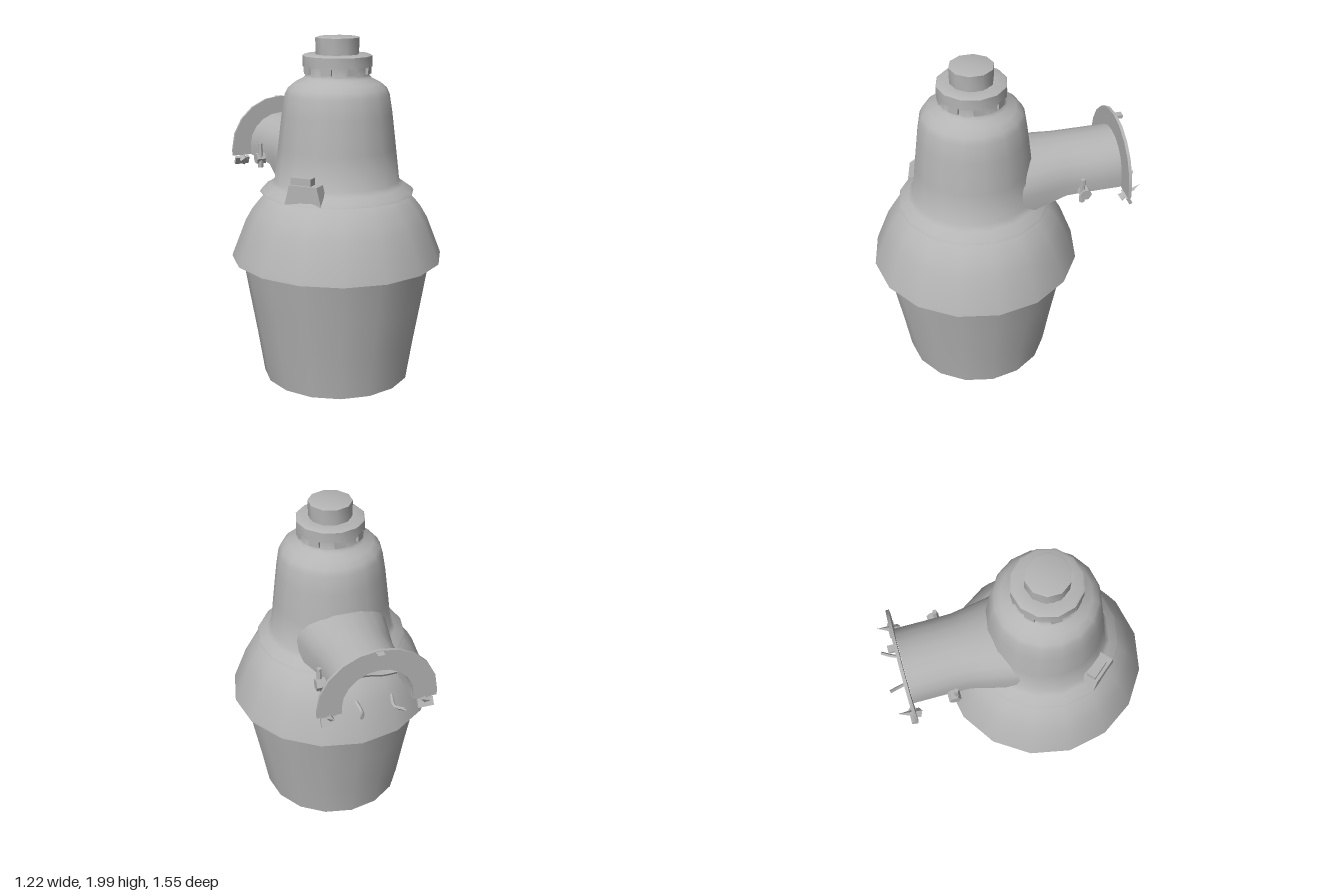
import * as THREE from 'three';
import { toCreasedNormals } from 'three/addons/utils/BufferGeometryUtils.js';

const AXIS_Z = 0.165;

export function createModel() {
  const model = new THREE.Group();
  model.name = 'yardLight';
  const grey = new THREE.MeshStandardMaterial({ color: 0xb4b4b4, side: THREE.DoubleSide });
  grey.name = 'cast grey';

  function add(name, geometry, parent = model) {
    const mesh = new THREE.Mesh(toCreasedNormals(geometry, 0.75), grey);
    mesh.name = name;
    parent.add(mesh);
    return mesh;
  }

  // Turned part around the lamp axis; profile is [radius, y] from bottom to top
  function turned(name, profile, sides) {
    const points = profile.map(([r, y]) => new THREE.Vector2(r, y));
    const mesh = add(name, new THREE.LatheGeometry(points, sides));
    mesh.position.z = AXIS_Z;
    return mesh;
  }

  // Arch outline, open at the bottom, as an inner and an outer curve
  function archShape(outer, inner) {
    const half = ({ w, base, spring, top }) => {
      const pts = [[-w, base]];
      for (let i = 0; i <= 10; i++) {
        const a = Math.PI * (1 - i / 10);
        pts.push([w * Math.cos(a), spring + (top - spring) * Math.sin(a)]);
      }
      pts.push([w, base]);
      return pts.map(([x, y]) => new THREE.Vector2(x, y));
    };
    return new THREE.Shape([...half(outer), ...half(inner).reverse()]);
  }

  // Shade, open at the bottom
  turned('shade', [[0.432, 0.01], [0.47, 0.25], [0.51, 0.48], [0.553, 0.735]], 16);

  // Reflector bowl with its rim
  turned('reflectorBowl', [
    [0.55, 0.74], [0.612, 0.735], [0.608, 0.75], [0.565, 0.86], [0.53, 0.95],
    [0.49, 1.02], [0.45, 1.07], [0.41, 1.11], [0.36, 1.125]
  ], 16);

  // Ballast housing with flared foot and rounded shoulder
  turned('housing', [
    [0.40, 1.115], [0.445, 1.12], [0.435, 1.135], [0.385, 1.165], [0.36, 1.19],
    [0.338, 1.38], [0.315, 1.57], [0.297, 1.68], [0.28, 1.715], [0.245, 1.745],
    [0.195, 1.77], [0.182, 1.785], [0.18, 1.84]
  ], 16);

  // Collar and photocell cap
  turned('collar', [[0.18, 1.835], [0.197, 1.835], [0.197, 1.895], [0.185, 1.903], [0.12, 1.903]], 12);
  turned('photocellCap', [[0.122, 1.89], [0.125, 1.995], [0.11, 2.0], [0, 2.0]], 10);

  // Short lugs under the collar
  const lugs = new THREE.Group();
  lugs.name = 'collarLugs';
  lugs.position.z = AXIS_Z;
  model.add(lugs);
  for (let i = 0; i < 8; i++) {
    const a = (i / 8) * Math.PI * 2;
    const lug = add('lug', new THREE.BoxGeometry(0.06, 0.045, 0.015), lugs);
    lug.position.set(0.183 * Math.sin(a), 1.82, 0.183 * Math.cos(a));
    lug.rotation.y = a;
  }

  // Arm: arched trough, flaring where it meets the housing
  const arm = new THREE.ExtrudeGeometry(
    archShape({ w: 0.215, base: 1.2, spring: 1.26, top: 1.46 }, { w: 0.195, base: 1.2, spring: 1.26, top: 1.44 }),
    { depth: 0.66, steps: 6, bevelEnabled: false }
  );
  arm.translate(0, 0, -0.66);
  const p = arm.attributes.position;
  for (let i = 0; i < p.count; i++) {
    const flare = Math.max(0, p.getZ(i) + 0.34) / 0.34;
    p.setX(i, p.getX(i) * (1 + 0.3 * flare));
    if (p.getY(i) < 1.23) p.setY(i, p.getY(i) - 0.07 * flare);
  }
  add('arm', arm);

  // Arched mounting flange at the end of the arm
  const flange = new THREE.ExtrudeGeometry(
    archShape({ w: 0.335, base: 1.2, spring: 1.24, top: 1.565 }, { w: 0.2, base: 1.2, spring: 1.24, top: 1.44 }),
    { depth: 0.018, bevelEnabled: false }
  );
  flange.translate(0, 0, -0.68);
  add('mountingFlange', flange);

  // Top claw of the flange
  add('flangeClaw', new THREE.BoxGeometry(0.04, 0.02, 0.05)).position.set(0, 1.55, -0.69);

  // Side parts of the bracket, mirrored
  for (const side of [-1, 1]) {
    const claw = add('flangeFoot', new THREE.ConeGeometry(0.03, 0.14, 4));
    claw.position.set(side * 0.265, 1.2, -0.7);
    claw.rotation.x = -1.0;

    const tip = add('flangeTip', new THREE.BoxGeometry(0.09, 0.05, 0.02));
    tip.position.set(side * 0.27, 1.165, -0.68);
    tip.rotation.x = 0.5;

    const ear = add('clampEar', new THREE.CylinderGeometry(0.035, 0.035, 0.06, 6));
    ear.rotation.z = Math.PI / 2;
    ear.position.set(side * 0.24, 1.22, -0.43);
    add('clampBolt', new THREE.CylinderGeometry(0.014, 0.018, 0.15, 6)).position.set(side * 0.245, 1.24, -0.415);

    // Bent tongue behind the flange
    const curve = new THREE.CatmullRomCurve3([
      new THREE.Vector3(side * 0.1, 1.21, -0.62),
      new THREE.Vector3(side * 0.09, 1.19, -0.69),
      new THREE.Vector3(side * 0.12, 1.22, -0.77)
    ]);
    add('tongue', new THREE.TubeGeometry(curve, 6, 0.01, 4));
  }

  // Pipe strap across the open underside of the arm
  const strap = new THREE.CatmullRomCurve3([
    new THREE.Vector3(-0.23, 1.22, -0.43), new THREE.Vector3(-0.12, 1.215, -0.43),
    new THREE.Vector3(0, 1.235, -0.43), new THREE.Vector3(0.12, 1.215, -0.43),
    new THREE.Vector3(0.23, 1.22, -0.43)
  ]);
  add('pipeStrap', new THREE.TubeGeometry(strap, 12, 0.022, 6));

  // Latch block on the housing foot, tapering upward
  const latch = new THREE.Group();
  latch.name = 'latch';
  latch.position.set(-0.3, 0, 0.4);
  latch.rotation.y = -0.87;
  model.add(latch);
  const block = new THREE.BoxGeometry(0.22, 0.11, 0.13);
  const b = block.attributes.position;
  for (let i = 0; i < b.count; i++) if (b.getY(i) > 0) b.setX(i, b.getX(i) * 0.75);
  add('latchBlock', block, latch).position.set(0, 1.175, -0.02);
  add('latchButton', new THREE.BoxGeometry(0.12, 0.05, 0.055), latch).position.set(-0.02, 1.245, 0);

  return model;
}
